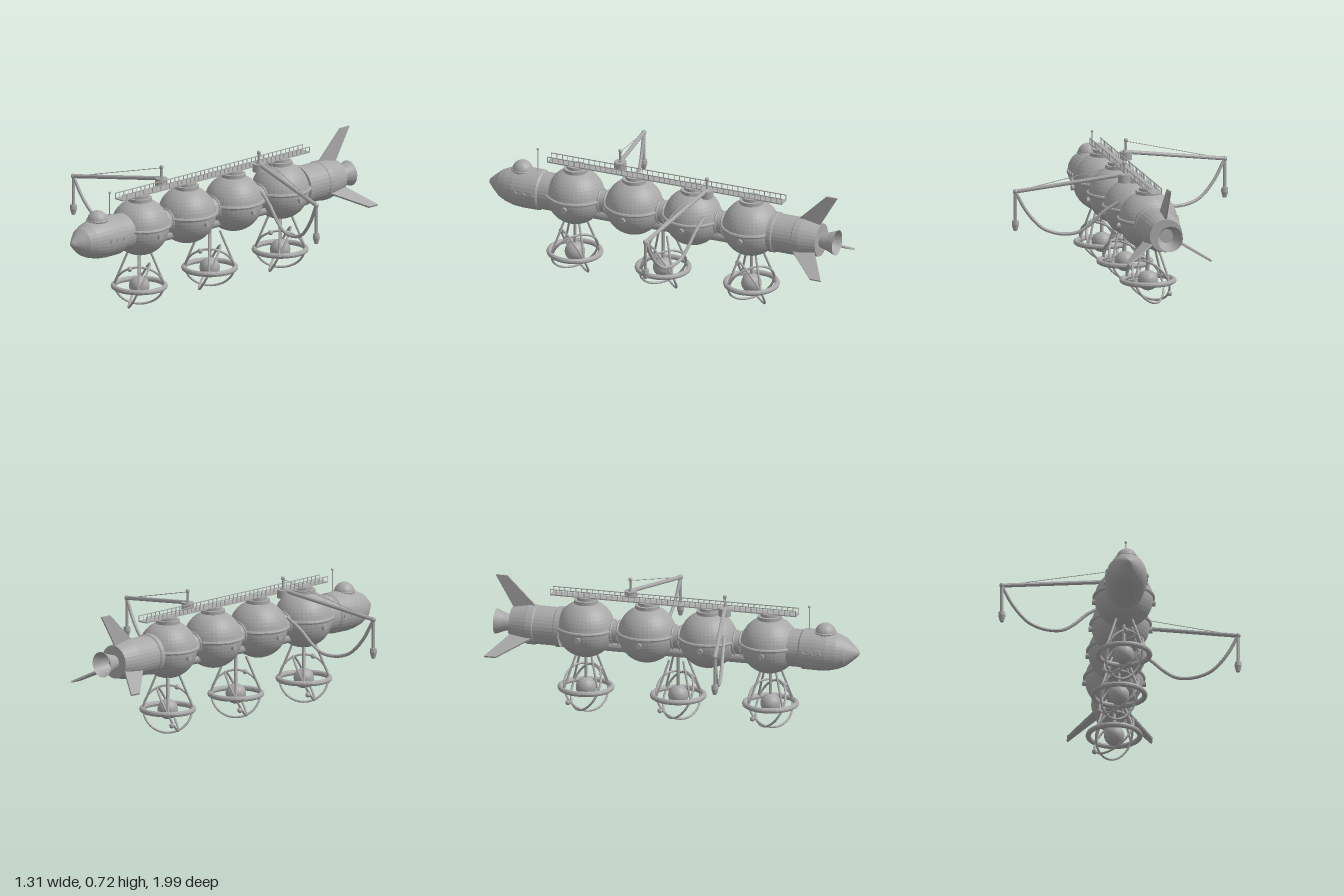
import * as THREE from 'three';

const hull = new THREE.MeshStandardMaterial({ color: 0xa8a8a8, flatShading: true });
hull.name = 'hull grey';
const hullOpen = new THREE.MeshStandardMaterial({ color: 0xa8a8a8, flatShading: true, side: THREE.DoubleSide });
hullOpen.name = 'hull grey open';

const V = (x, y, z) => new THREE.Vector3(x, y, z);
const UP = V(0, 1, 0);

function add(parent, name, geometry, x = 0, y = 0, z = 0, material = hull) {
  const m = new THREE.Mesh(geometry, material);
  m.name = name;
  m.position.set(x, y, z);
  parent.add(m);
  return m;
}

// round bar between two points
function bar(parent, name, a, b, r, sides = 10) {
  const d = b.clone().sub(a);
  const mid = a.clone().add(b).multiplyScalar(0.5);
  const m = add(parent, name, new THREE.CylinderGeometry(r, r, d.length(), sides), mid.x, mid.y, mid.z);
  m.quaternion.setFromUnitVectors(UP, d.normalize());
  return m;
}

const ball = (parent, name, r, x, y, z, s = 12) =>
  add(parent, name, new THREE.SphereGeometry(r, s, Math.ceil(s * 0.6)), x, y, z);

// body of revolution along z, points are [radius, z] from back to front
function turned(parent, name, y, points, material = hull) {
  const g = new THREE.LatheGeometry(points.map(([r, z]) => new THREE.Vector2(r, z)), 32);
  g.rotateX(Math.PI / 2);
  return add(parent, name, g, 0, y, 0, material);
}

const AXIS = 0.444;
const TANKS = [0.5, 0.165, -0.17, -0.505];

// spherical tank with equator band, top hatch and side ports
function tank(z) {
  const g = new THREE.Group();
  g.name = 'tank';
  g.position.set(0, 0.45, z);
  add(g, 'tankShell', new THREE.SphereGeometry(0.154, 40, 24));
  add(g, 'equatorBand', new THREE.TorusGeometry(0.155, 0.01, 8, 40).rotateX(Math.PI / 2), 0, 0.008, 0);
  add(g, 'hatchBase', new THREE.CylinderGeometry(0.064, 0.064, 0.02, 28), 0, 0.148, 0);
  add(g, 'hatch', new THREE.CylinderGeometry(0.048, 0.048, 0.022, 28), 0, 0.163, 0);
  for (const s of [-1, 1])
    add(g, 'sidePort', new THREE.CylinderGeometry(0.015, 0.015, 0.03, 14).rotateZ(Math.PI / 2), s * 0.152, -0.024, 0);
  return g;
}

// nose section with canopy, aerial and portholes
function nose() {
  const g = new THREE.Group();
  g.name = 'nose';
  turned(g, 'noseShell', AXIS, [[0, 0.6], [0.1, 0.6], [0.1, 0.68], [0.108, 0.69], [0.109, 0.78], [0.105, 0.83],
    [0.092, 0.88], [0.074, 0.92], [0.045, 0.955], [0.014, 0.988], [0, 0.995]]);
  ball(g, 'canopy', 0.055, 0, 0.54, 0.805, 24);
  add(g, 'canopyRim', new THREE.TorusGeometry(0.055, 0.005, 6, 28).rotateX(Math.PI / 2), 0, 0.545, 0.805);
  bar(g, 'aerial', V(0, 0.54, 0.717), V(0, 0.675, 0.717), 0.003, 6);
  ball(g, 'aerialTip', 0.007, 0, 0.675, 0.717, 8);
  for (const s of [-1, 1])
    for (const z of [0.8, 0.754, 0.707])
      add(g, 'porthole', new THREE.CylinderGeometry(0.012, 0.012, 0.016, 14).rotateZ(Math.PI / 2), s * 0.106, 0.447, z);
  return g;
}

// tail section with open nozzle and three fins
function tail() {
  const g = new THREE.Group();
  g.name = 'tail';
  turned(g, 'tailShell', AXIS, [[0, -0.905], [0.088, -0.905], [0.106, -0.81], [0.106, -0.775], [0.102, -0.77],
    [0.102, -0.66], [0.108, -0.655], [0.108, -0.63], [0, -0.63]]);
  turned(g, 'nozzle', AXIS, [[0.068, -0.995], [0.05, -0.95], [0.036, -0.9]], hullOpen);
  const s = new THREE.Shape([[0.77, 0.095], [0.935, 0.257], [0.998, 0.257], [0.895, 0.08]]
    .map(([z, r]) => new THREE.Vector2(z, r)));
  for (let i = 0; i < 3; i++) {
    const fin = new THREE.ExtrudeGeometry(s, { depth: 0.01, bevelEnabled: false });
    fin.translate(0, 0, -0.005).rotateY(Math.PI / 2).rotateZ(i * Math.PI * 2 / 3);
    add(g, 'fin', fin, 0, AXIS, 0);
  }
  return g;
}

// walkway along the top with two railings
function walkway() {
  const g = new THREE.Group();
  g.name = 'walkway';
  const z0 = -0.692, z1 = 0.652, n = 44;
  add(g, 'deck', new THREE.BoxGeometry(0.06, 0.006, z1 - z0), 0, 0.624, (z0 + z1) / 2);
  for (const x of [-0.028, 0.028]) {
    add(g, 'handrail', new THREE.BoxGeometry(0.004, 0.004, z1 - z0), x, 0.653, (z0 + z1) / 2);
    for (let i = 0; i <= n; i++)
      add(g, 'railPost', new THREE.BoxGeometry(0.003, 0.03, 0.003), x, 0.639, z0 + 0.002 + (z1 - z0 - 0.004) * i / n);
  }
  return g;
}

// refuelling crane: s is the side, z the base position
function crane(s, z) {
  const g = new THREE.Group();
  g.name = 'crane';
  const at = (x, y) => V(s * x, y, z + (x - 0.074) * 0.195);
  const tip = at(0.635, 0.565);
  add(g, 'craneBase', new THREE.CylinderGeometry(0.033, 0.033, 0.043, 20), s * 0.074, 0.631, z);
  bar(g, 'mast', at(0.074, 0.64), at(0.074, 0.712), 0.007);
  ball(g, 'mastKnob', 0.011, s * 0.074, 0.713, z);
  bar(g, 'boom', at(0.06, 0.653), tip, 0.011);
  bar(g, 'stay', at(0.074, 0.708), tip, 0.002, 5);
  ball(g, 'boomTip', 0.014, tip.x, tip.y, tip.z);
  bar(g, 'dropPipe', tip, V(tip.x, 0.4, tip.z), 0.009);
  const nozzle = [[0, 0.356], [0.01, 0.356], [0.019, 0.388], [0.017, 0.41], [0, 0.41]];
  add(g, 'fillNozzle', new THREE.LatheGeometry(nozzle.map(p => new THREE.Vector2(...p)), 14), tip.x, 0, tip.z);
  const path = [[0.633, 0.56], [0.575, 0.455], [0.5, 0.372], [0.435, 0.343], [0.37, 0.335], [0.31, 0.345],
    [0.25, 0.385], [0.18, 0.452], [0.1, 0.505]].map(([x, y]) => at(x, y));
  add(g, 'hose', new THREE.TubeGeometry(new THREE.CatmullRomCurve3(path), 36, 0.009, 8));
  return g;
}

// hanging gyro: core, flat ring, two tilted rings, post and four legs
function gyro(z) {
  const g = new THREE.Group();
  g.name = 'gyro';
  g.position.set(0, 0.126, z);
  ball(g, 'core', 0.054, 0, 0, 0, 28);
  add(g, 'flatRing', new THREE.TorusGeometry(0.136, 0.014, 10, 40).rotateX(Math.PI / 2));
  for (const s of [-1, 1]) {
    const ring = add(g, 'tiltedRing', new THREE.TorusGeometry(0.128, 0.006, 8, 40));
    ring.quaternion.setFromUnitVectors(V(0, 0, 1), V(0.635, -0.44, s * 0.635).normalize());
  }
  ball(g, 'ringWeight', 0.014, -0.1, -0.063, -0.07);
  ball(g, 'ringWeight', 0.014, 0.007, 0.105, 0.075);
  bar(g, 'post', V(0, 0, 0), V(0, 0.22, 0), 0.009);
  for (const x of [-1, 1])
    for (const k of [-1, 1])
      bar(g, 'leg', V(x * 0.038, 0.2, k * 0.038), V(x * 0.096, 0, k * 0.096), 0.006, 8);
  return g;
}

export function createModel() {
  const model = new THREE.Group();
  model.name = 'spaceStation';
  for (const z of TANKS) model.add(tank(z));

  // necks between the tanks, with collars
  for (let i = 0; i < 3; i++) {
    const z = (TANKS[i] + TANKS[i + 1]) / 2;
    turned(model, 'neck', AXIS, [[0.06, z - 0.08], [0.06, z + 0.08]]);
    for (const d of [-0.018, 0.018])
      add(model, 'neckCollar', new THREE.TorusGeometry(0.062, 0.006, 6, 28), 0, AXIS, z + d);
  }
  // keel pipe below the necks
  bar(model, 'keelPipe', V(0, 0.365, -0.66), V(0, 0.365, 0.6), 0.03, 16);

  model.add(nose(), tail(), walkway(), crane(1, -0.283), crane(-1, 0.277));
  for (const z of [0.505, 0, -0.505]) model.add(gyro(z));
  return model;
}
